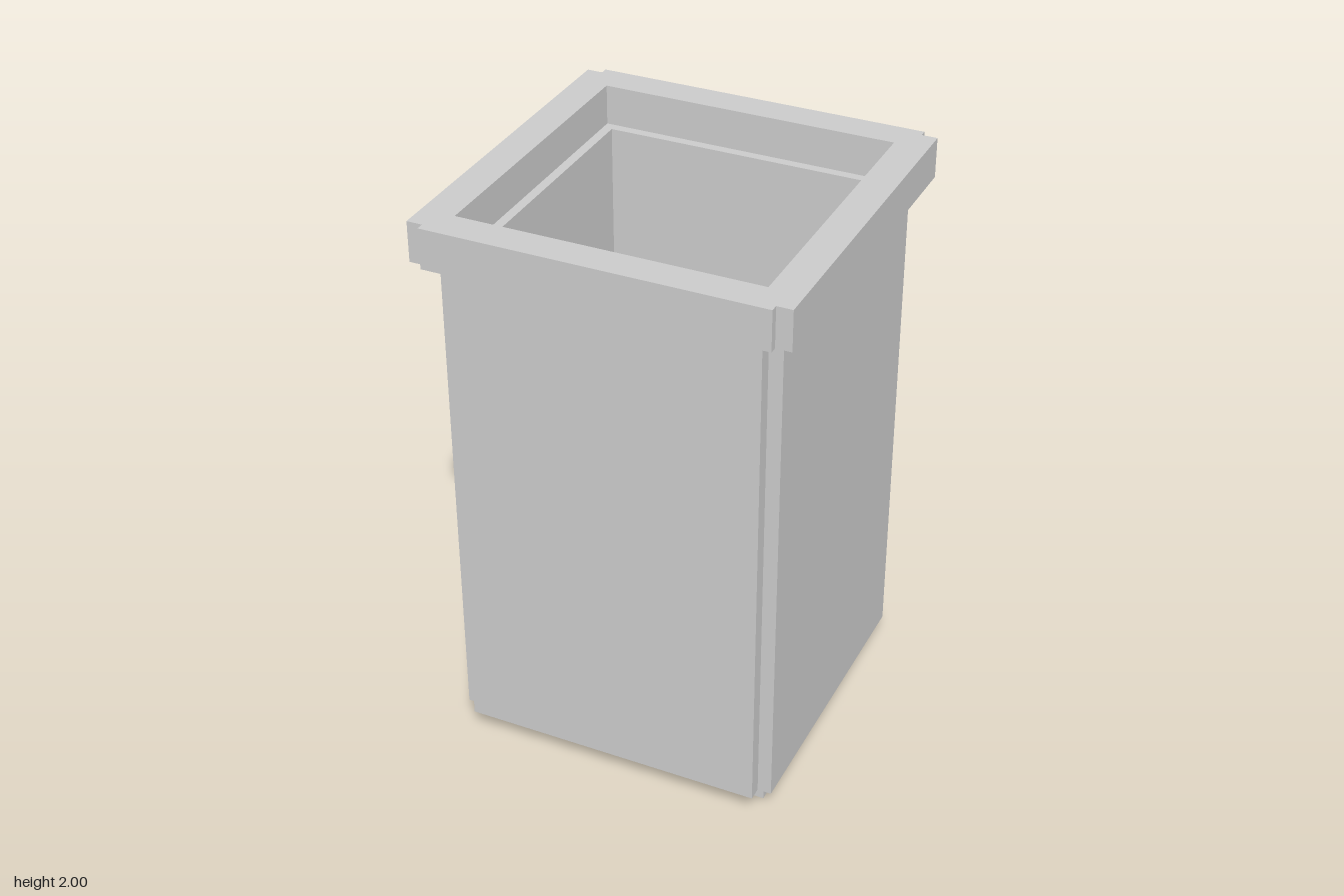
import * as THREE from 'three';

const grey = new THREE.MeshStandardMaterial({ color: 0xcccccc, flatShading: true });

// Hollow square sleeve with notched corners, standing from y0 to y1.
// outer: half width, nx / nz: half widths of the front and side faces, inner: half width of the opening
function notchedSleeve(name, outer, nx, nz, inner, y0, y1) {
  const shape = new THREE.Shape([
    [nx, outer], [nx, nz], [outer, nz], [outer, -nz], [nx, -nz], [nx, -outer],
    [-nx, -outer], [-nx, -nz], [-outer, -nz], [-outer, nz], [-nx, nz], [-nx, outer],
  ].map(([x, z]) => new THREE.Vector2(x, z)));
  shape.holes.push(new THREE.Path(
    [[-1, -1], [1, -1], [1, 1], [-1, 1]].map(([x, z]) => new THREE.Vector2(x * inner, z * inner))
  ));
  const geometry = new THREE.ExtrudeGeometry(shape, { depth: y1 - y0, bevelEnabled: false });
  geometry.rotateX(-Math.PI / 2).translate(0, y0, 0);
  const mesh = new THREE.Mesh(geometry, grey);
  mesh.name = name;
  return mesh;
}

function box(name, w, h, d, x, y, z) {
  const mesh = new THREE.Mesh(new THREE.BoxGeometry(w, h, d), grey);
  mesh.name = name;
  mesh.position.set(x, y, z);
  return mesh;
}

export function createModel() {
  const bin = new THREE.Group();
  bin.name = 'squareBin';

  // Recessed base plate, narrower front to back, leaving thin drainage slits
  bin.add(box('base', 1.052, 0.082, 0.948, 0, 0.041, 0));

  // Four wall panels meeting in notched corners
  bin.add(notchedSleeve('walls', 0.574, 0.526, 0.526, 0.483, 0.082, 1.86));

  // Overhanging rim, its opening slightly wider than the walls
  bin.add(notchedSleeve('rim', 0.632, 0.578, 0.606, 0.516, 1.86, 2));

  // Plain plate on the back
  bin.add(box('backPlate', 0.76, 0.424, 0.03, 0, 1.244, -0.587));

  return bin;
}
